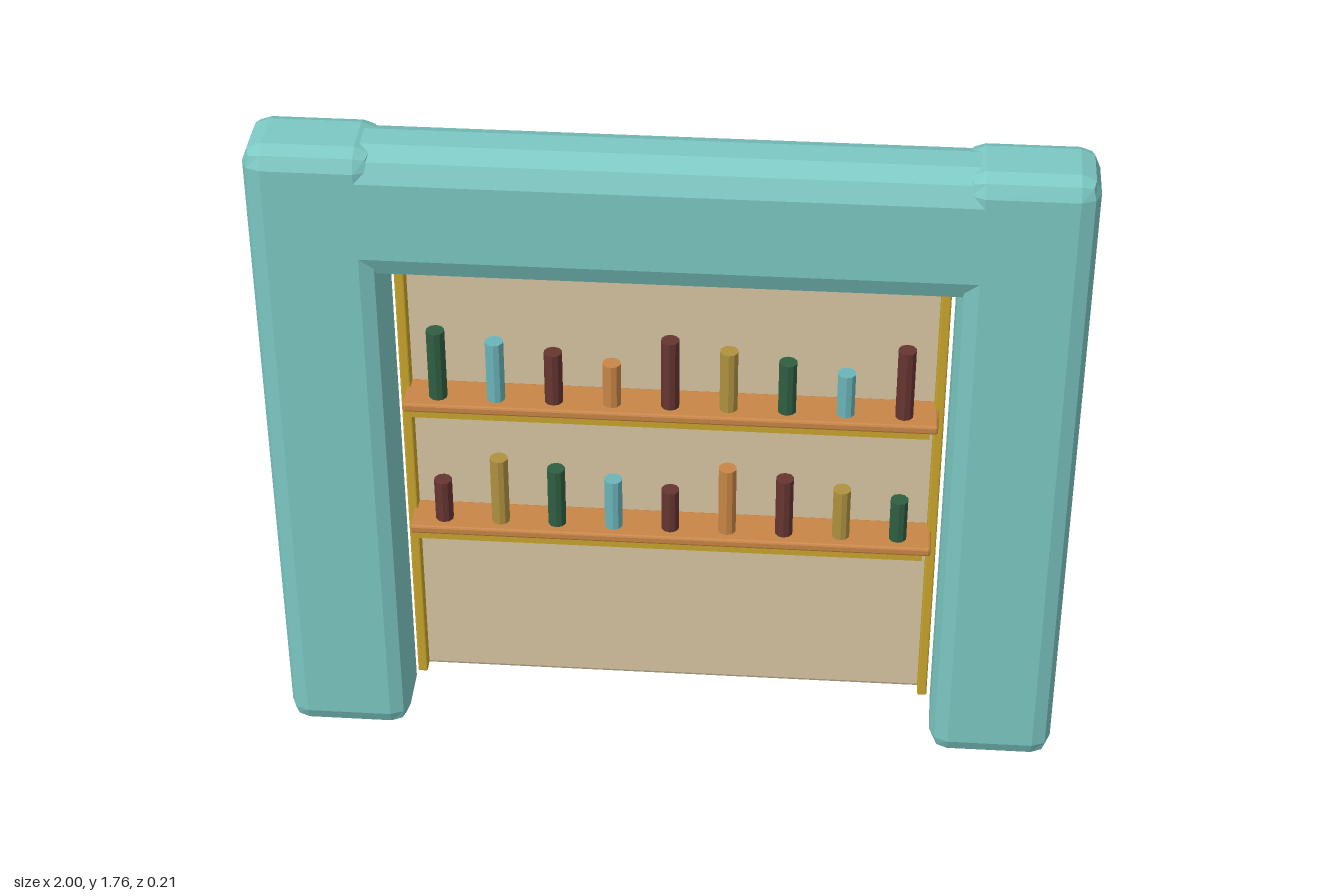
import * as THREE from 'three';
import { RoundedBoxGeometry } from 'three/addons/geometries/RoundedBoxGeometry.js';

const mat = (name, color) => {
  const m = new THREE.MeshStandardMaterial({ color, flatShading: true });
  m.name = name;
  return m;
};

export function createModel() {
  const teal = mat('teal', 0x7cc8c3);
  const sand = mat('sand', 0xd8c5a3);
  const wood = mat('wood', 0xc88545);
  const gold = mat('gold', 0xc9a52c);
  const green = mat('bottleGreen', 0x2f5f42);
  const aqua = mat('bottleAqua', 0x6bb5ba);
  const maroon = mat('bottleMaroon', 0x663530);
  const amber = mat('bottleAmber', 0xb0923f);

  const model = new THREE.Group();
  model.name = 'barShelfArch';

  const add = (name, geometry, material, x, y, z, parent = model) => {
    const mesh = new THREE.Mesh(geometry, material);
    mesh.name = name;
    mesh.position.set(x, y, z);
    parent.add(mesh);
  };
  // Box given by its limits; a radius gives it a two-step bevel
  const block = (name, material, [x0, x1], [y0, y1], [z0, z1], radius = 0, parent = model) => {
    const size = [x1 - x0, y1 - y0, z1 - z0];
    const geometry = radius
      ? new RoundedBoxGeometry(...size, 1, radius)
      : new THREE.BoxGeometry(...size);
    add(name, geometry, material, (x0 + x1) / 2, (y0 + y1) / 2, (z0 + z1) / 2, parent);
  };

  // Arch: two posts and a softer beam between them
  block('rightPost', teal, [-1, -0.685], [0, 1.757], [-0.105, 0.105], 0.048);
  block('leftPost', teal, [0.685, 1], [0, 1.757], [-0.105, 0.105], 0.048);
  block('beam', teal, [-0.9, 0.9], [1.405, 1.753], [-0.105, 0.105], 0.07);

  // Back panel with gold side rails
  block('backPanel', sand, [-0.675, 0.675], [0.085, 1.47], [-0.106, -0.066], 0.01);
  for (const [name, x] of [['rightRail', -0.6625], ['leftRail', 0.6625]]) {
    block(name, gold, [x - 0.0125, x + 0.0125], [0.087, 1.43], [-0.07, -0.03], 0.004);
  }

  // Shelves, each with a gold trim below and nine bottles on top
  const colors = [green, aqua, maroon, wood, maroon, amber];
  const heights = [0.195, 0.17, 0.145, 0.12];
  const shelves = [
    { name: 'upperShelf', y: 1.015, colorShift: 0, heightShift: 0 },
    { name: 'lowerShelf', y: 0.635, colorShift: 4, heightShift: 3 },
  ];
  for (const { name, y, colorShift, heightShift } of shelves) {
    const shelf = new THREE.Group();
    shelf.name = name;
    model.add(shelf);
    block('board', wood, [-0.66, 0.66], [y - 0.024, y], [-0.07, 0.045], 0.006, shelf);
    block('trim', gold, [-0.64, 0.64], [y - 0.04, y - 0.022], [0.022, 0.042], 0, shelf);
    for (let i = 0; i < 9; i++) {
      const h = heights[(i + heightShift) % 4];
      add('bottle', new THREE.CylinderGeometry(0.023, 0.023, h, 10),
        colors[(i + colorShift) % 6], -0.576 + 0.144 * i, y + h / 2, 0, shelf);
    }
  }
  return model;
}
